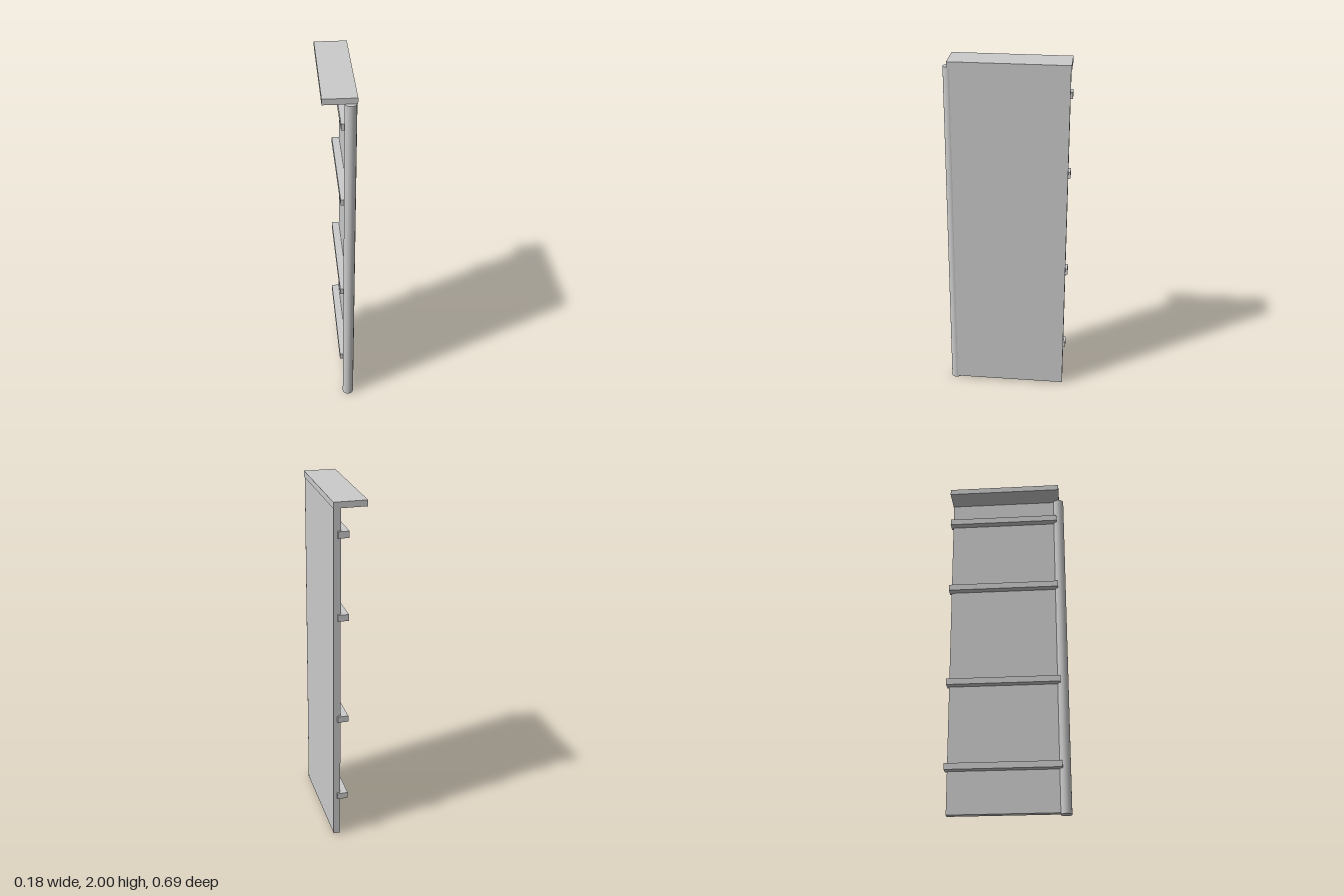
import * as THREE from 'three';

export function createModel() {
  const model = new THREE.Group();
  const material = new THREE.MeshStandardMaterial({ color: 0xcccccc });

  // The whole door is turned very slightly about its height
  const door = new THREE.Group();
  door.name = 'door';
  door.rotation.y = -0.0083;
  model.add(door);

  function add(name, geometry, x, y, z) {
    const mesh = new THREE.Mesh(geometry, material);
    mesh.name = name;
    mesh.position.set(x, y, z);
    door.add(mesh);
  }

  // Box placed by its lower and upper limits on each axis
  function addBox(name, [x0, x1], [y0, y1], [z0, z1]) {
    add(name, new THREE.BoxGeometry(x1 - x0, y1 - y0, z1 - z0),
      (x0 + x1) / 2, (y0 + y1) / 2, (z0 + z1) / 2);
  }

  // Flat upright panel
  addBox('panel', [0.049, 0.087], [0.01, 1.972], [-0.334, 0.306]);

  // Overhanging board on top
  addBox('topBoard', [-0.09, 0.0895], [1.967, 2], [-0.337, 0.32]);

  // Round post along the front edge
  add('frontPost', new THREE.CylinderGeometry(0.031, 0.031, 1.968, 16), 0.0546, 0.984, 0.315);

  // Horizontal rails let into the inner face of the panel
  for (const y of [0.27, 0.77, 1.375, 1.83]) {
    addBox('rail', [0.007, 0.067], [y - 0.018, y + 0.018], [-0.346, 0.302]);
  }

  return model;
}
